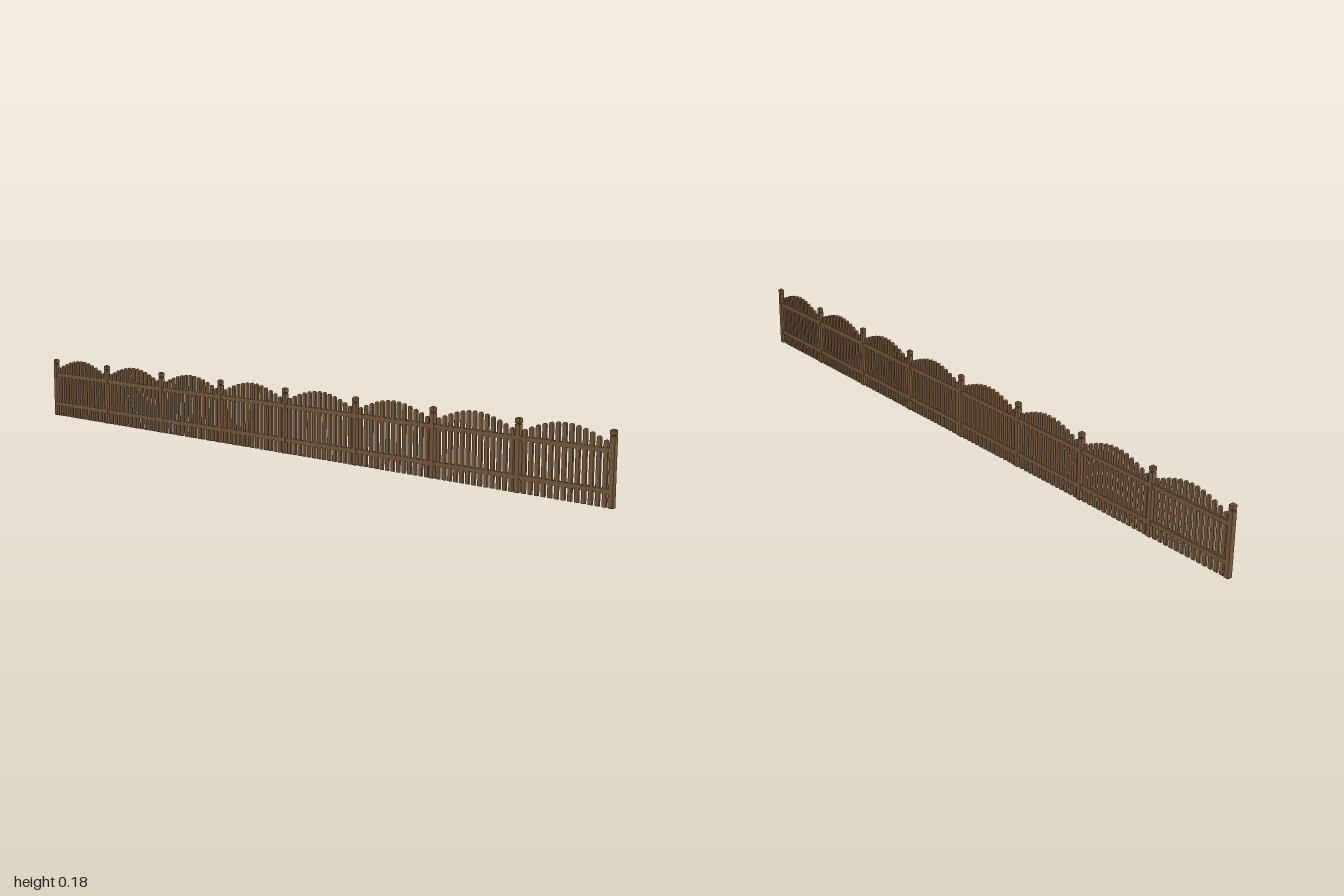
import * as THREE from 'three';

const POSTS = 9, PICKETS = 13;       // pickets per panel
const POST_W = 0.0125;
const PITCH = (2 - POST_W) / (POSTS - 1);
const wood = new THREE.MeshStandardMaterial({ color: 0x7a5c3e, flatShading: true });

// upright square block with chamfered edges, standing on y = 0
function chamferedBlock(width, height, chamfer) {
  const a = width / 2 - chamfer;
  const square = new THREE.Shape([[-a, -a], [a, -a], [a, a], [-a, a]].map(p => new THREE.Vector2(...p)));
  return new THREE.ExtrudeGeometry(square, {
    depth: height - 2 * chamfer, bevelThickness: chamfer, bevelSize: chamfer, bevelSegments: 1,
  }).rotateX(-Math.PI / 2).translate(0, chamfer, 0);
}

// slat with a rounded top
function picketGeometry(width, height, depth) {
  const r = width / 2;
  const s = new THREE.Shape();
  s.moveTo(-r, 0);
  s.lineTo(r, 0);
  s.lineTo(r, height - r);
  s.absarc(0, height - r, r, 0, Math.PI, false);
  return new THREE.ExtrudeGeometry(s, { depth, bevelEnabled: false, curveSegments: 6 }).translate(0, 0, -depth / 2);
}

function add(parent, name, geometry, x = 0, y = 0) {
  const mesh = new THREE.Mesh(geometry, wood);
  mesh.name = name;
  mesh.position.set(x, y, 0);
  parent.add(mesh);
}

export function createModel() {
  const fence = new THREE.Group();
  fence.name = 'picketFence';

  // posts with a separate cap block
  const shaft = chamferedBlock(POST_W, 0.163, 0.0012);
  const cap = chamferedBlock(POST_W, 0.0155, 0.003);
  for (let i = 0; i < POSTS; i++) {
    const post = new THREE.Group();
    post.name = 'post';
    post.position.x = -1 + POST_W / 2 + i * PITCH;
    add(post, 'postShaft', shaft);
    add(post, 'postCap', cap, 0, 0.1622);
    fence.add(post);
  }

  // pickets rise in an arch between each pair of posts
  const pickets = Array.from({ length: PICKETS }, (_, j) => {
    const t = (j + 1) / (PICKETS + 1);
    const arch = Math.sin(Math.PI * (t - 1 / 14) / (12 / 14));
    return picketGeometry(0.0105, 0.152 + 0.028 * arch, 0.006);
  });
  const rail = new THREE.BoxGeometry(PITCH - POST_W + 0.004, 0.0115, 0.0095);
  for (let i = 0; i < POSTS - 1; i++) {
    const panel = new THREE.Group();
    panel.name = 'panel';
    panel.position.x = -1 + POST_W / 2 + (i + 0.5) * PITCH;
    pickets.forEach((g, j) => add(panel, 'picket', g, ((j + 1) / (PICKETS + 1) - 0.5) * PITCH));
    add(panel, 'lowerRail', rail, 0, 0.037);
    add(panel, 'upperRail', rail, 0, 0.129);
    fence.add(panel);
  }
  return fence;
}
